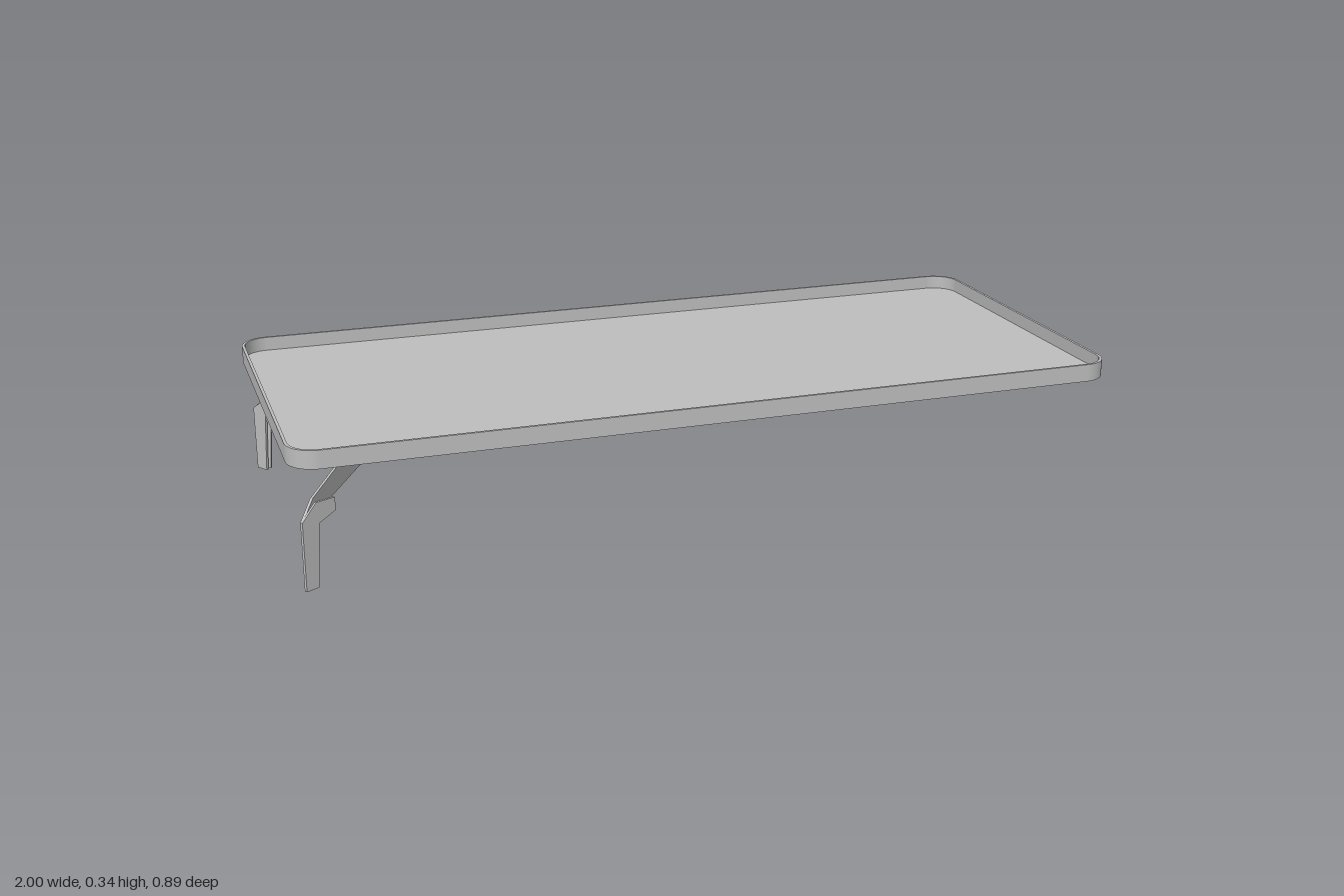
import * as THREE from 'three';

// Rounded rectangle centred on the origin
function roundedRect(Type, hx, hz, r) {
  const s = new Type();
  s.moveTo(hx, -hz + r);
  s.lineTo(hx, hz - r);
  s.absarc(hx - r, hz - r, r, 0, Math.PI / 2);
  s.absarc(-hx + r, hz - r, r, Math.PI / 2, Math.PI);
  s.absarc(-hx + r, -hz + r, r, Math.PI, Math.PI * 1.5);
  s.absarc(hx - r, -hz + r, r, Math.PI * 1.5, Math.PI * 2);
  return s;
}

// Horizontal slab from y0 to y1
function slab(shape, y0, y1) {
  const geo = new THREE.ExtrudeGeometry(shape, { depth: y1 - y0, bevelEnabled: false, curveSegments: 10 });
  return geo.rotateX(-Math.PI / 2).translate(0, y0, 0);
}

// Upright sheet of metal; profile is [distance from fold, height]
function sheet(profile, thickness) {
  const shape = new THREE.Shape(profile.map(([t, y]) => new THREE.Vector2(t, y)));
  return new THREE.ExtrudeGeometry(shape, { depth: thickness, bevelEnabled: false })
    .translate(0, 0, -thickness / 2);
}

export function createModel() {
  const model = new THREE.Group();
  const metal = new THREE.MeshStandardMaterial({ color: 0xbebebe });
  metal.name = 'greyMetal';

  const add = (parent, name, geo) => {
    const mesh = new THREE.Mesh(geo, metal);
    mesh.name = name;
    parent.add(mesh);
    return mesh;
  };

  // Shallow tray: thin upright rim around a flat floor
  const HX = 1, HZ = 0.443, R = 0.068, WALL = 0.007;
  const rim = roundedRect(THREE.Shape, HX, HZ, R);
  rim.holes.push(roundedRect(THREE.Path, HX - WALL, HZ - WALL, R - WALL));
  add(model, 'trayRim', slab(rim, 0.295, 0.338));
  add(model, 'trayFloor', slab(roundedRect(THREE.Shape, HX - WALL, HZ - WALL, R - WALL), 0.297, 0.304));

  // Folded legs: an arm running to the middle and a short flange sharing the outer edge
  const FX = 0.978, FZ = 0.41;
  const arm = { dx: -0.278, dz: -0.41 };
  const flange = { dx: -0.08, dz: -0.045 };
  const armScale = Math.hypot(arm.dx, arm.dz) / 0.41;
  const flangeScale = Math.hypot(flange.dx, flange.dz) / 0.08;
  const armGeo = sheet([
    [0, 0], [0.028, 0], [0.036, 0.148], [0.075, 0.163], [0.41, 0.21],
    [0.41, 0.295], [0.045, 0.2], [0, 0.163],
  ].map(([t, y]) => [t * armScale, y]), 0.006);
  const flangeGeo = sheet([
    [0, 0], [0.03, 0], [0.04, 0.15], [0.08, 0.167],
    [0.08, 0.198], [0.035, 0.2], [0, 0.163],
  ].map(([t, y]) => [t * flangeScale, y]), 0.006);

  for (const [name, sx, sz] of [['frontRightLeg', -1, 1], ['backRightLeg', -1, -1], ['backLeftLeg', 1, -1]]) {
    const leg = new THREE.Group();
    leg.name = name;
    leg.position.set(sx * FX, 0, sz * FZ);
    add(leg, 'legArm', armGeo).rotation.y = Math.atan2(-sz * arm.dz, sx * arm.dx);
    add(leg, 'legFlange', flangeGeo).rotation.y = Math.atan2(-sz * flange.dz, sx * flange.dx);
    model.add(leg);
  }
  return model;
}
